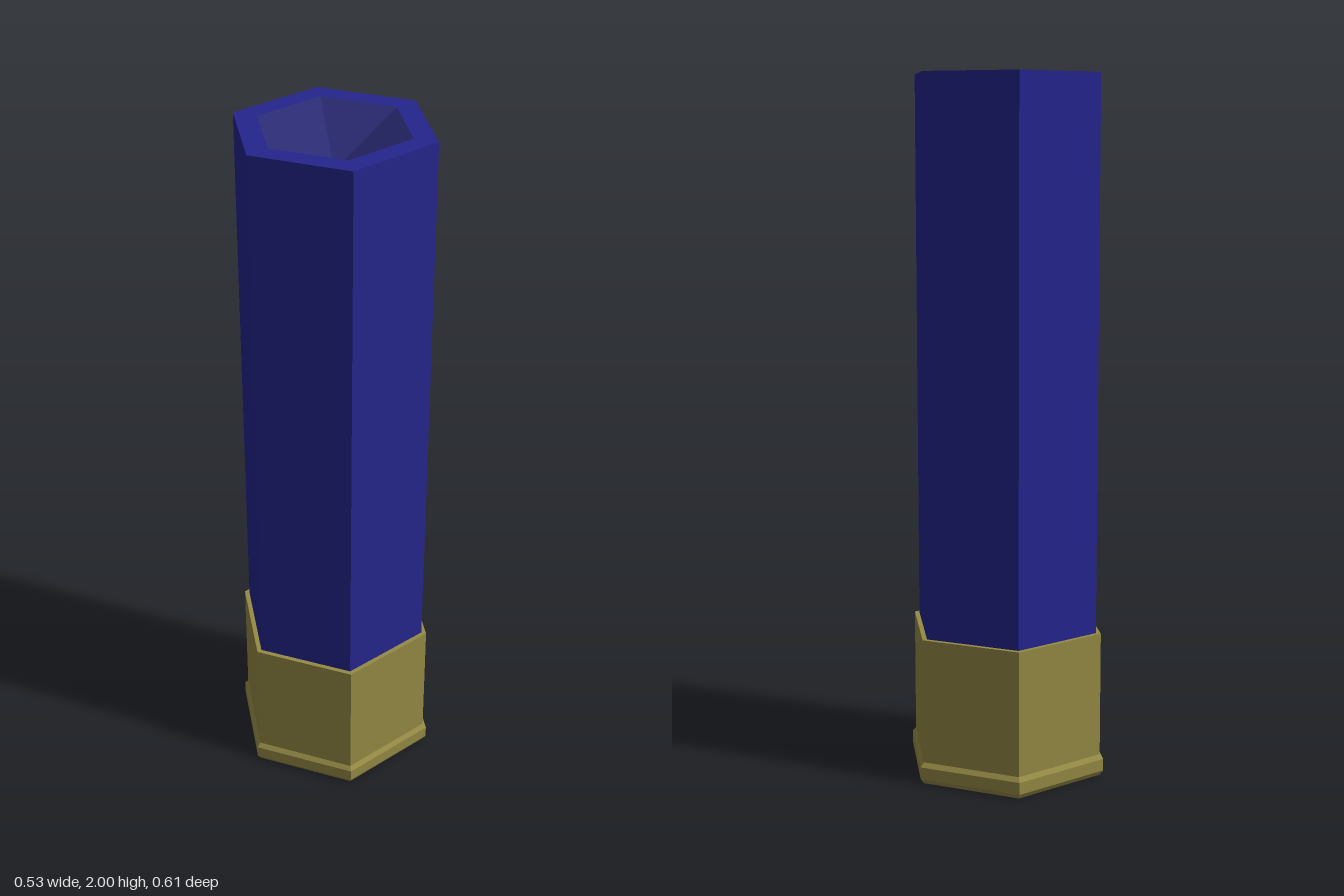
import * as THREE from 'three';

const SIDES = 6;

const blue = new THREE.MeshStandardMaterial({ color: 0x25258e });
blue.name = 'casing blue';
const brass = new THREE.MeshStandardMaterial({ color: 0x958a45 });
brass.name = 'brass';
const darkBlue = new THREE.MeshStandardMaterial({ color: 0x2b2b74 });
darkBlue.name = 'crimp dark blue';

// Hexagonal faceted solid of revolution from [radius, height] pairs
function hexLathe(name, profile, material) {
  const points = profile.map(([r, y]) => new THREE.Vector2(r, y));
  const geometry = new THREE.LatheGeometry(points, SIDES).toNonIndexed();
  geometry.computeVertexNormals();
  const mesh = new THREE.Mesh(geometry, material);
  mesh.name = name;
  return mesh;
}

export function createModel() {
  const model = new THREE.Group();
  model.name = 'cartridge';

  // Brass cup with a bevelled flange at the foot
  model.add(hexLathe('brassBase', [
    [0, 0], [0.295, 0], [0.306, 0.015], [0.306, 0.05],
    [0.295, 0.063], [0.295, 0.425], [0.28, 0.425],
  ], brass));

  // Tall casing with a flat rim
  model.add(hexLathe('casing', [[0.28, 0.425], [0.28, 2], [0.213, 2]], blue));

  // Sunken pyramid that closes the mouth
  model.add(hexLathe('crimp', [[0.213, 2], [0, 1.88]], darkBlue));

  return model;
}
